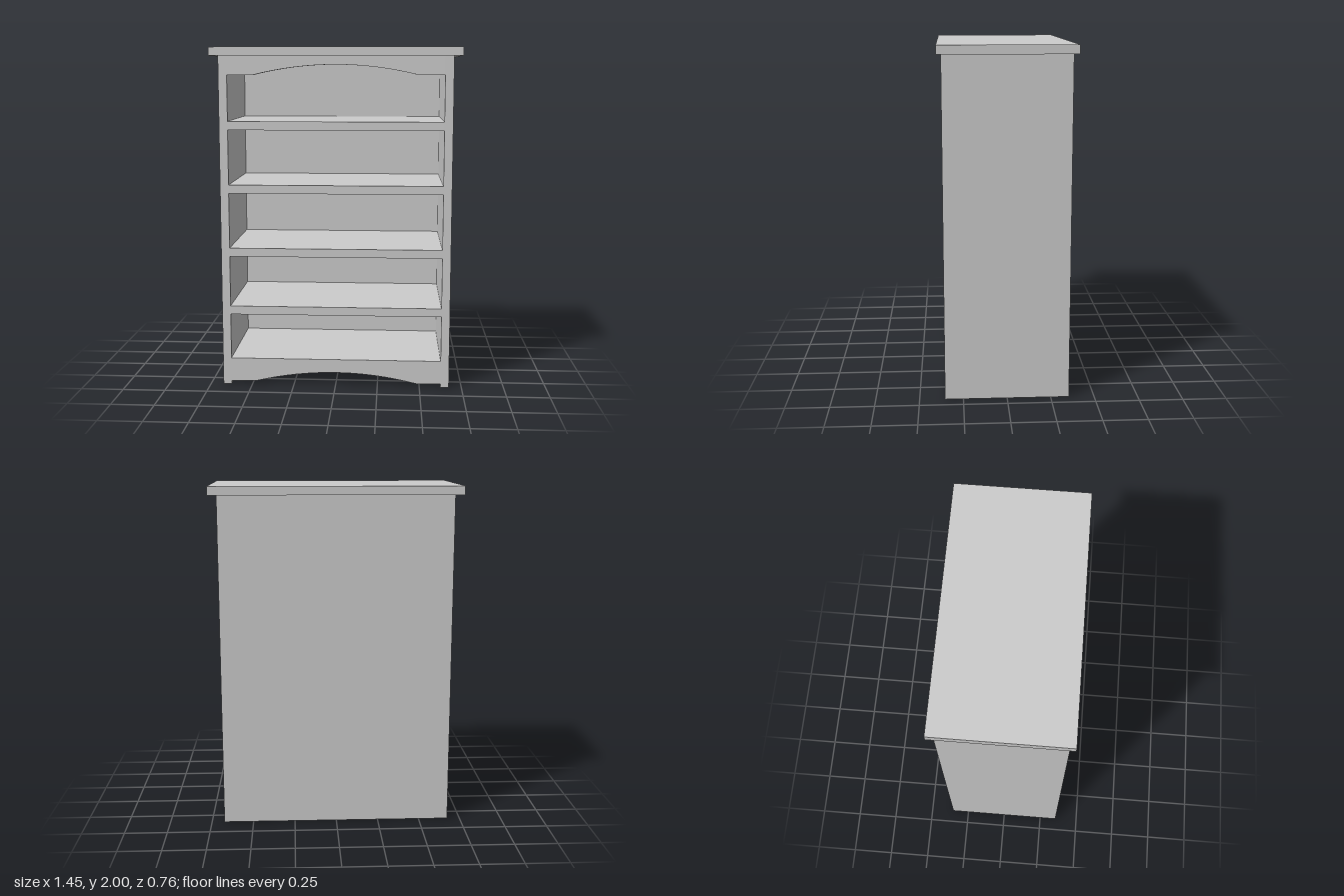
import * as THREE from 'three';

const T = 0.05;                    // board thickness
const HALF_W = 0.675, HALF_D = 0.355;
const IN_W = HALF_W - T;           // half width between the sides
const BODY_H = 1.95;

export function createModel() {
  const group = new THREE.Group();
  const material = new THREE.MeshStandardMaterial({ color: 0xcccccc, flatShading: true });

  const add = (name, geometry, x = 0, y = 0, z = 0) => {
    const mesh = new THREE.Mesh(geometry, material);
    mesh.name = name;
    mesh.position.set(x, y, z);
    group.add(mesh);
    return mesh;
  };

  // Sides and back: one U-shaped plan, open to the front, extruded upward
  const plan = new THREE.Shape([
    [-HALF_W, -HALF_D], [-IN_W, -HALF_D], [-IN_W, HALF_D - T], [IN_W, HALF_D - T],
    [IN_W, -HALF_D], [HALF_W, -HALF_D], [HALF_W, HALF_D], [-HALF_W, HALF_D],
  ].map(([x, y]) => new THREE.Vector2(x, y)));
  const carcass = new THREE.ExtrudeGeometry(plan, { depth: BODY_H, bevelEnabled: false });
  carcass.rotateX(-Math.PI / 2);
  add('sidesAndBack', carcass);

  // Overhanging top board
  add('topBoard', new THREE.BoxGeometry(1.45, T, 0.76), 0, BODY_H + T / 2, 0);

  // Shelves, flush with the front
  const shelfDepth = 2 * HALF_D - T;
  [0.48, 0.83, 1.205, 1.575].forEach((top, i) => {
    add(`shelf${i + 1}`, new THREE.BoxGeometry(2 * IN_W, T, shelfDepth), 0, top - T / 2, T / 2);
  });

  // Bottom shelf sits behind the lower rail
  add('bottomShelf', new THREE.BoxGeometry(2 * IN_W, T, shelfDepth - T), 0, 0.16 - T / 2, 0);

  // Front rails with an arched lower edge
  const rail = (name, bottom, top) => {
    const shape = new THREE.Shape();
    shape.moveTo(-IN_W, bottom);
    shape.lineTo(-0.48, bottom);
    shape.quadraticCurveTo(0, bottom + 0.12, 0.48, bottom);
    shape.lineTo(IN_W, bottom);
    shape.lineTo(IN_W, top);
    shape.lineTo(-IN_W, top);
    const geometry = new THREE.ExtrudeGeometry(shape, { depth: T, bevelEnabled: false, curveSegments: 16 });
    add(name, geometry, 0, 0, HALF_D - T);
  };
  rail('upperRail', 1.84, BODY_H);
  rail('lowerRail', 0.02, 0.16);

  return group;
}
